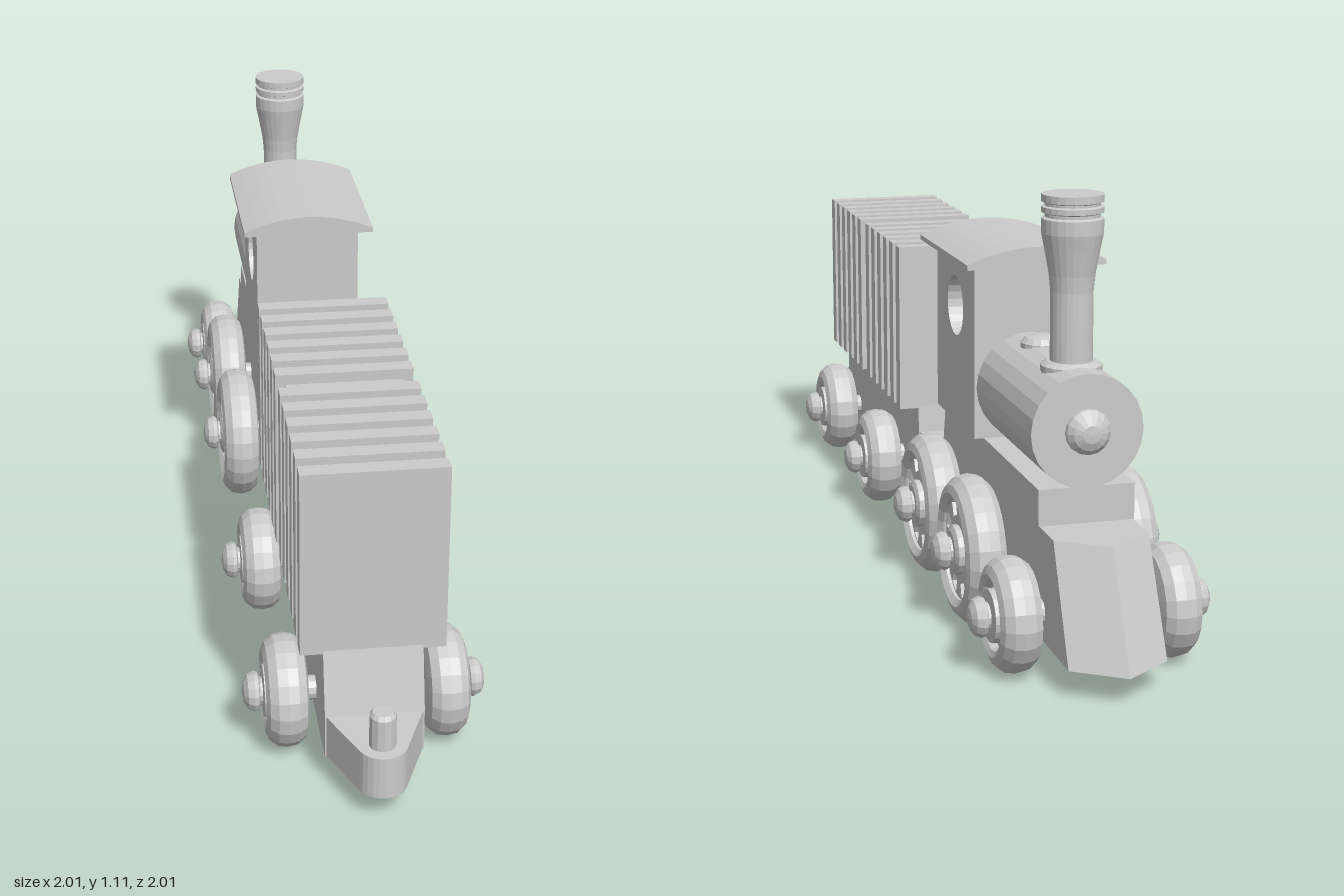
import * as THREE from 'three';
import { ConvexGeometry } from 'three/addons/geometries/ConvexGeometry.js';

const mat = new THREE.MeshStandardMaterial({ color: 0xcccccc, flatShading: true });

function add(parent, name, geo, x = 0, y = 0, z = 0) {
  const m = new THREE.Mesh(geo, mat);
  m.name = name;
  m.position.set(x, y, z);
  parent.add(m);
  return m;
}

const lathe = (pts, n = 20) => new THREE.LatheGeometry(pts.map(p => new THREE.Vector2(...p)), n);

// Convex block from [x, y, halfWidth] stations mirrored across z
const block = pts => new ConvexGeometry(
  pts.flatMap(([x, y, w]) => [new THREE.Vector3(x, y, w), new THREE.Vector3(x, y, -w)]));

function extrude(shape, depth, curveSegments = 12) {
  return new THREE.ExtrudeGeometry(shape, { depth, bevelEnabled: false, curveSegments });
}

// Flat coupling plate tapering from a wide root to a round end
function couplingPlate(rootX, endX, height) {
  const r = 0.06, dir = Math.sign(endX - rootX), s = new THREE.Shape();
  s.moveTo(rootX, -0.12);
  for (let i = 0; i <= 10; i++) {
    const a = -1.25 + i * 0.25;
    s.lineTo(endX + dir * r * Math.cos(a), r * Math.sin(a));
  }
  s.lineTo(rootX, 0.12);
  s.closePath();
  const g = extrude(s, height);
  g.rotateX(-Math.PI / 2);
  return g;
}

// Mushroom-headed axle peg, along +y
const pegProfile = [[0.034, 0.2], [0.034, 0.258], [0.046, 0.262], [0.05, 0.272], [0.043, 0.288], [0.025, 0.298], [0, 0.302]];

function smallWheel() {
  const g = new THREE.Group();
  add(g, 'tyre', lathe([[0, 0.145], [0.09, 0.145], [0.12, 0.152], [0.136, 0.172], [0.14, 0.197],
    [0.136, 0.222], [0.12, 0.242], [0.1, 0.25], [0.085, 0.243], [0.078, 0.225], [0.066, 0.225],
    [0.064, 0.25], [0.045, 0.252], [0, 0.252]]));
  add(g, 'axlePeg', lathe(pegProfile, 14));
  return g;
}

function bigWheel() {
  const g = new THREE.Group();
  add(g, 'tyre', lathe([[0.128, 0.16], [0.142, 0.145], [0.165, 0.15], [0.184, 0.17], [0.19, 0.197],
    [0.184, 0.224], [0.165, 0.244], [0.145, 0.25], [0.128, 0.238], [0.128, 0.16]], 24));
  // Web pierced by a ring of square windows
  const web = new THREE.Shape().absarc(0, 0, 0.135, 0, Math.PI * 2);
  for (let i = 0; i < 8; i++) {
    const a = (i + 0.5) * Math.PI / 4, hole = new THREE.Path();
    [[0.086, -0.018], [0.122, -0.021], [0.122, 0.021], [0.086, 0.018]].forEach(([r, t], k) => {
      const x = r * Math.cos(a) - t * Math.sin(a), y = r * Math.sin(a) + t * Math.cos(a);
      k ? hole.lineTo(x, y) : hole.moveTo(x, y);
    });
    hole.closePath();
    web.holes.push(hole);
  }
  const webGeo = extrude(web, 0.065, 12);
  webGeo.rotateX(-Math.PI / 2);
  add(g, 'spokedWeb', webGeo, 0, 0.165, 0);
  add(g, 'hub', lathe([[0, 0.15], [0.06, 0.15], [0.064, 0.245], [0.05, 0.252], [0, 0.252]], 16));
  add(g, 'axlePeg', lathe(pegProfile, 14));
  return g;
}

// Wheel on both sides, joined by an axle
function wheelPair(parent, name, make, x, y) {
  for (const side of [1, -1]) {
    const w = make();
    w.name = name + (side > 0 ? 'Right' : 'Left');
    w.rotation.x = side * Math.PI / 2;
    w.position.set(x, y, 0);
    parent.add(w);
  }
  const axle = new THREE.CylinderGeometry(0.03, 0.03, 0.36, 12);
  axle.rotateX(Math.PI / 2);
  add(parent, 'axle', axle, x, y, 0);
}

function couplingPin(parent, x) {
  add(parent, 'couplingPin', lathe([[0.032, 0.18], [0.032, 0.272], [0.025, 0.282], [0, 0.282]], 12), x);
}

function locomotive() {
  const g = new THREE.Group();
  g.name = 'locomotive';

  // Chassis with pointed, sloping front
  add(g, 'chassis', block([[0.09, 0.08, 0.12], [0.09, 0.19, 0.12], [0.125, 0.35, 0.12], [1.14, 0.35, 0.117],
    [1.227, 0.35, 0], [1.273, 0.08, 0.12], [1.356, 0.08, 0]]));
  add(g, 'footplate', block([[0.125, 0.35, 0.12], [0.147, 0.44, 0.12], [1.03, 0.35, 0.12], [1.03, 0.44, 0.12]]));
  add(g, 'rearCoupling', couplingPlate(0.1, -0.035, 0.11), 0, 0.08, 0);
  couplingPin(g, -0.035);

  // Cab pierced by a round window
  const cab = new THREE.Shape();
  cab.moveTo(0.155, 0.44).lineTo(0.545, 0.44).lineTo(0.545, 0.91).lineTo(0.155, 0.91).closePath();
  cab.holes.push(new THREE.Path().absarc(0.35, 0.755, 0.08, 0, Math.PI * 2, true));
  add(g, 'cab', extrude(cab, 0.29), 0, 0, -0.145);

  // Arched roof
  const roof = new THREE.Shape();
  roof.moveTo(-0.183, 0.895).lineTo(0.183, 0.895);
  for (let i = 0; i <= 10; i++) {
    const t = 1 - i / 5;
    roof.lineTo(0.183 * t, 0.908 + 0.04 * (1 - t * t));
  }
  roof.closePath();
  const roofGeo = extrude(roof, 0.495);
  roofGeo.rotateY(Math.PI / 2);
  add(g, 'roof', roofGeo, 0.12, 0, 0);

  // Boiler, front button, dome and chimney
  const boiler = new THREE.CylinderGeometry(0.14, 0.14, 0.5, 24);
  boiler.rotateZ(-Math.PI / 2);
  add(g, 'boiler', boiler, 0.78, 0.575, 0);
  const button = lathe([[0.057, -0.01], [0.055, 0.012], [0.042, 0.026], [0.022, 0.035], [0, 0.037]], 16);
  button.rotateZ(-Math.PI / 2);
  add(g, 'boilerButton', button, 1.03, 0.575, 0);
  add(g, 'dome', lathe([[0.057, 0.68], [0.057, 0.715], [0.045, 0.728], [0.02, 0.734], [0, 0.734]], 16), 0.665);
  add(g, 'chimneyCollar', lathe([[0.075, 0.67], [0.075, 0.71], [0.06, 0.72], [0, 0.72]]), 0.898);
  add(g, 'chimney', lathe([[0.052, 0.68], [0.052, 0.89], [0.056, 0.93], [0.067, 0.99], [0.075, 1.03], [0.075, 1.065],
    [0.067, 1.069], [0.067, 1.077], [0.075, 1.08], [0.075, 1.093], [0.067, 1.096], [0.067, 1.102],
    [0.075, 1.105], [0.075, 1.123], [0, 1.123]], 24), 0.898);

  wheelPair(g, 'rearDrivingWheel', bigWheel, 0.29, 0.2);
  wheelPair(g, 'frontDrivingWheel', bigWheel, 0.705, 0.2);
  wheelPair(g, 'leadingWheel', smallWheel, 1.06, 0.15);
  return g;
}

function wagon() {
  const g = new THREE.Group();
  g.name = 'wagon';
  add(g, 'chassis', block([[-1.21, 0.08, 0.12], [-1.21, 0.19, 0.12], [-1.17, 0.35, 0.12],
    [-0.18, 0.35, 0.12], [-0.17, 0.2, 0.12], [-0.19, 0.08, 0.12]]));
  add(g, 'rearCoupling', couplingPlate(-1.2, -1.33, 0.11), 0, 0.08, 0);
  couplingPin(g, -1.33);
  add(g, 'frontCoupling', couplingPlate(-0.18, -0.035, 0.075), 0, 0.195, 0);

  // Load: two ribbed crates around a common core
  add(g, 'crateCore', new THREE.BoxGeometry(0.97, 0.45, 0.3), -0.675, 0.57, 0);
  const w = 0.046, pitch = (0.46 - w) / 5;
  for (const start of [-1.17, -0.64]) {
    for (let i = 0; i < 6; i++) {
      add(g, 'crateRib', new THREE.BoxGeometry(w, 0.48, 0.35), start + w / 2 + i * pitch, 0.582, 0);
    }
  }

  wheelPair(g, 'rearWheel', smallWheel, -1.02, 0.15);
  wheelPair(g, 'frontWheel', smallWheel, -0.385, 0.15);
  return g;
}

export function createModel() {
  const model = new THREE.Group();
  model.name = 'toyTrain';
  const train = new THREE.Group();
  train.name = 'train';
  train.add(locomotive(), wagon());
  // The train runs diagonally across the ground
  train.rotation.y = Math.PI / 4;
  train.position.y = -0.01;
  model.add(train);
  return model;
}
